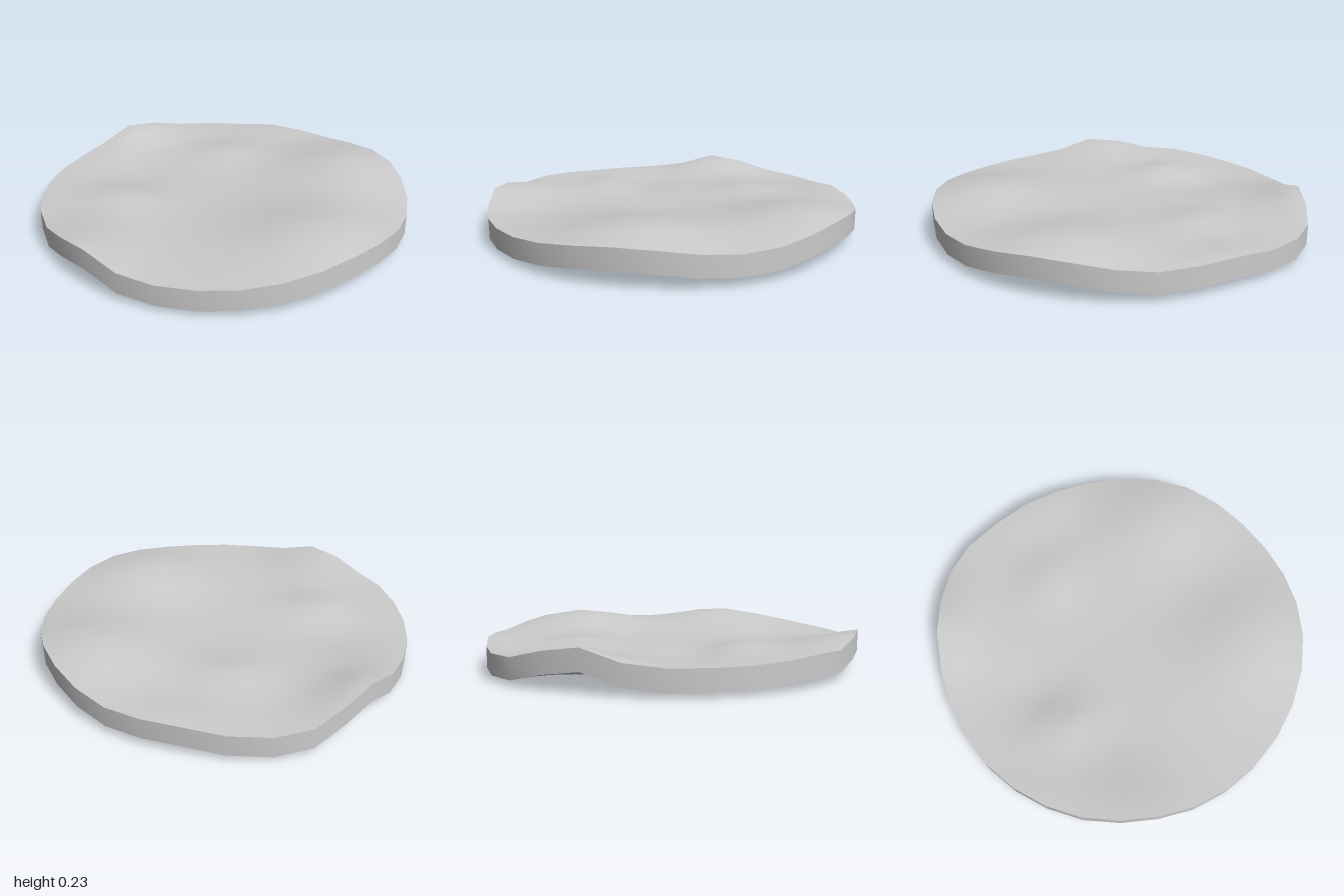
import * as THREE from 'three';

const SEGMENTS = 32, RINGS = 28, THICKNESS = 0.11, BASE = 0.135;

// Gentle hills and hollows: x, z, spread in x, spread in z, height
const WAVES = [
  [0.62, 0.39, 0.28, 0.26, 0.093],   // front ridge on the +x side
  [0.62, -0.48, 0.28, 0.26, 0.095],  // back ridge on the +x side
  [-0.45, 0.93, 0.14, 0.24, 0.08],   // front rim hump
  [-0.8, -0.6, 0.14, 0.15, 0.085],   // back rim hump
  [-0.85, 0.55, 0.15, 0.15, 0.02],
  [-0.52, 0.25, 0.14, 0.1, 0.035],
  [-0.6, -0.02, 0.15, 0.11, -0.025],
  [-0.15, -0.52, 0.14, 0.13, 0.033],
  [0.05, -0.95, 0.14, 0.12, 0.03],
];

function topHeight(x, z) {
  return WAVES.reduce((y, [cx, cz, sx, sz, h]) =>
    y + h * Math.exp(-(((x - cx) / sx) ** 2 + ((z - cz) / sz) ** 2) / 2), BASE);
}

// Point on the disc; the outline bulges slightly at the back, -x side
function discPoint(angle, r) {
  const x = r * Math.cos(angle), z = r * Math.sin(angle);
  const bulge = r ** 4 * Math.exp(-(((x + 0.48) / 0.24) ** 2 + ((z + 0.9) / 0.24) ** 2) / 2);
  return [x - 0.045 * bulge, z - 0.045 * bulge];
}

function makeMesh(name, positions, indices, material) {
  const geometry = new THREE.BufferGeometry();
  geometry.setAttribute('position', new THREE.Float32BufferAttribute(positions, 3));
  geometry.setIndex(indices);
  geometry.computeVertexNormals();
  const mesh = new THREE.Mesh(geometry, material);
  mesh.name = name;
  return mesh;
}

// Wavy round sheet made of concentric rings
function sheet(name, drop, facesUp, material) {
  const positions = [0, topHeight(0, 0) - drop, 0], indices = [];
  const id = (ring, s) => (ring === 0 ? 0 : 1 + (ring - 1) * SEGMENTS + (s % SEGMENTS));
  const tri = (a, b, c) => indices.push(...(facesUp ? [a, b, c] : [a, c, b]));
  for (let ring = 1; ring <= RINGS; ring++) {
    for (let s = 0; s < SEGMENTS; s++) {
      const [x, z] = discPoint((s / SEGMENTS) * Math.PI * 2, ring / RINGS);
      positions.push(x, topHeight(x, z) - drop, z);
      tri(id(ring - 1, s), id(ring, s + 1), id(ring, s));
      if (ring > 1) tri(id(ring - 1, s), id(ring - 1, s + 1), id(ring, s + 1));
    }
  }
  return makeMesh(name, positions, indices, material);
}

// Upright wall joining the two sheets
function rim(material) {
  const positions = [], indices = [];
  for (let s = 0; s < SEGMENTS; s++) {
    const [x, z] = discPoint((s / SEGMENTS) * Math.PI * 2, 1);
    const y = topHeight(x, z);
    positions.push(x, y, z, x, y - THICKNESS, z);
    const a = s * 2, b = ((s + 1) % SEGMENTS) * 2;
    indices.push(a, b, a + 1, b, b + 1, a + 1);
  }
  return makeMesh('rim', positions, indices, material);
}

export function createModel() {
  const group = new THREE.Group();
  group.name = 'wavyDisc';
  const material = new THREE.MeshStandardMaterial({ color: 0xcccccc });
  group.add(
    sheet('topSurface', 0, true, material),
    sheet('underside', THICKNESS, false, material),
    rim(material),
  );
  // Rest the lowest point on the ground
  group.position.y = -new THREE.Box3().setFromObject(group).min.y;
  return group;
}
